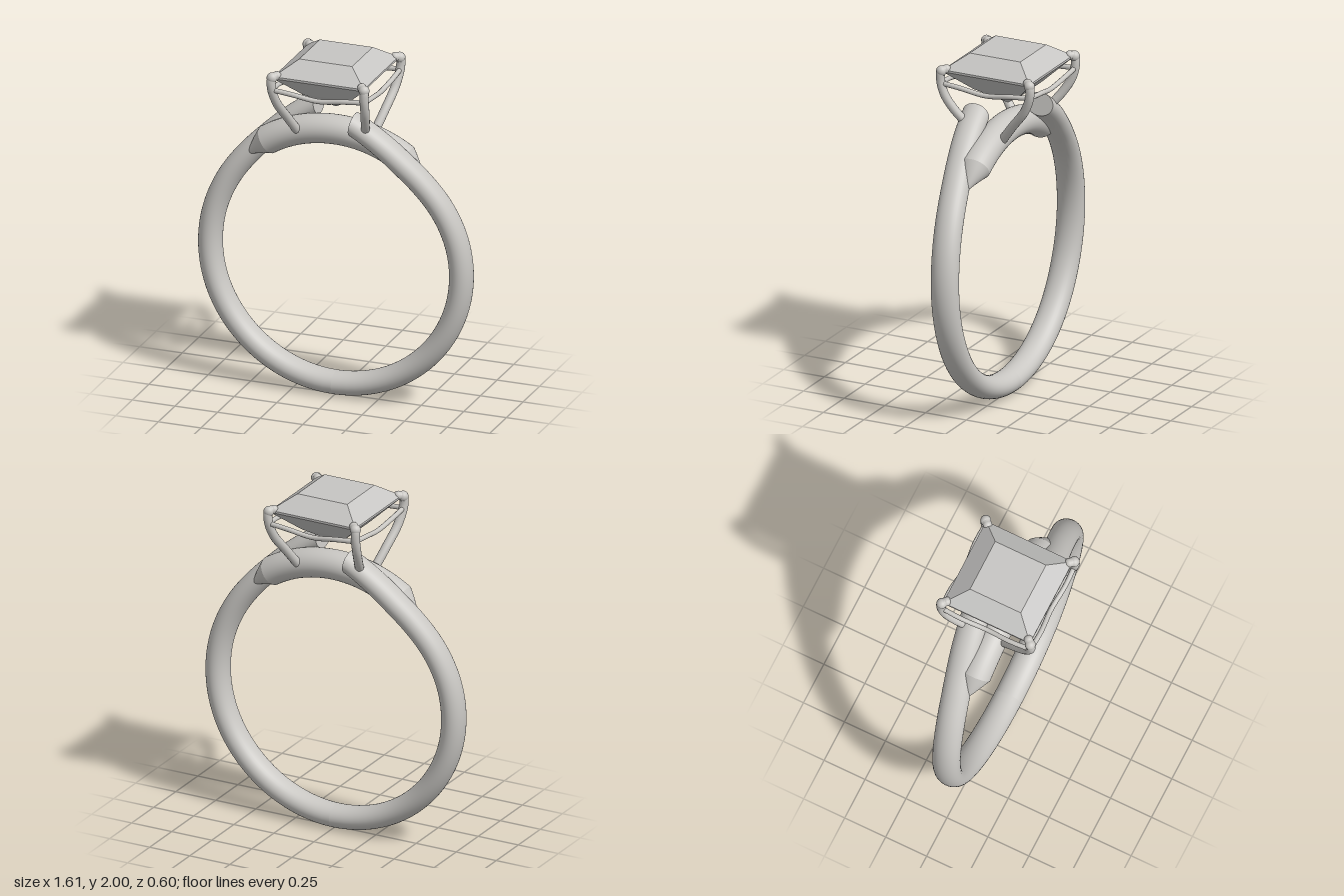
import * as THREE from 'three';

const CY = 0.805; // height of the ring centre
const V = (x, y, z) => new THREE.Vector3(x, y, z);

// Elliptical sweep around the ring axis. at(t) gives angle from the top (degrees),
// radius, z offset and section scale; h and w are the radial and z half sizes.
function sweep(steps, at, h, w, sides = 32) {
  const pos = [], idx = [], ring = [];
  for (let i = 0; i <= steps; i++) {
    const { deg, r, z, s = 1 } = at(i / steps);
    const f = THREE.MathUtils.degToRad(deg);
    for (let j = 0; j < sides; j++) {
      const a = (j / sides) * Math.PI * 2;
      const q = r + h * s * Math.cos(a);
      pos.push(q * Math.sin(f), CY + q * Math.cos(f), z + w * s * Math.sin(a));
    }
    ring.push([r * Math.sin(f), CY + r * Math.cos(f), z]);
  }
  for (let i = 0; i < steps; i++) for (let j = 0; j < sides; j++) {
    const a = i * sides + j, b = i * sides + (j + 1) % sides;
    idx.push(a, b, a + sides, b, b + sides, a + sides);
  }
  // Flat end caps with their own vertices
  for (const end of [0, steps]) {
    const c = pos.length / 3;
    pos.push(...ring[end]);
    for (let j = 0; j < sides; j++) {
      const k = (end * sides + j) * 3;
      pos.push(pos[k], pos[k + 1], pos[k + 2]);
    }
    for (let j = 0; j < sides; j++) {
      const a = c + 1 + j, b = c + 1 + (j + 1) % sides;
      if (end) idx.push(c, a, b); else idx.push(c, b, a);
    }
  }
  const g = new THREE.BufferGeometry();
  g.setAttribute('position', new THREE.Float32BufferAttribute(pos, 3));
  g.setIndex(idx);
  g.computeVertexNormals();
  return g;
}

// Square-cut stone: stacked square outlines [half width, height], flat facets
function stoneGeometry(levels) {
  const pos = [];
  const corner = ([s, y], k) => [[s, y, s], [s, y, -s], [-s, y, -s], [-s, y, s]][k % 4];
  for (let i = 0; i < levels.length - 1; i++) for (let k = 0; k < 4; k++) {
    const a = corner(levels[i], k), b = corner(levels[i], k + 1);
    const c = corner(levels[i + 1], k), d = corner(levels[i + 1], k + 1);
    pos.push(...a, ...b, ...c);
    if (levels[i + 1][0] > 0) pos.push(...b, ...d, ...c);
  }
  const top = levels[levels.length - 1];
  const t = [0, 1, 2, 3].map((k) => corner(top, k));
  pos.push(...t[0], ...t[1], ...t[2], ...t[0], ...t[2], ...t[3]);
  const g = new THREE.BufferGeometry();
  g.setAttribute('position', new THREE.Float32BufferAttribute(pos, 3));
  g.computeVertexNormals();
  return g;
}

export function createModel() {
  const model = new THREE.Group();
  model.name = 'ring';
  const metal = new THREE.MeshStandardMaterial({ color: 0xc9c7c3 });
  metal.name = 'silver metal';
  const gem = new THREE.MeshStandardMaterial({ color: 0xc6c5c3 });
  gem.name = 'pale stone';

  const add = (parent, name, geo, mat = metal) => {
    const m = new THREE.Mesh(geo, mat);
    m.name = name;
    parent.add(m);
    return m;
  };

  // Arm path as (angle, radius, z): splays forward and outward near its open end
  const armPath = new THREE.CatmullRomCurve3([
    V(10, 0.857, 0.12), V(17, 0.822, 0.11), V(25, 0.788, 0.097), V(34, 0.759, 0.08), V(45, 0.743, 0.058),
    V(60, 0.739, 0.034), V(75, 0.739, 0.017), V(90, 0.739, 0.007), V(110, 0.739, 0),
    V(145, 0.739, 0), V(180, 0.739, 0),
  ]);
  const armGeo = sweep(96, (t) => {
    const p = armPath.getPoint(t);
    return { deg: p.x, r: p.y, z: p.z };
  }, 0.066, 0.08);

  // Cone that closes each end of the bridge
  const coneGeo = sweep(6, (t) => ({ deg: 32.5 + 12 * t, r: 0.747 - 0.008 * t, z: 0, s: 1 - 0.97 * t }), 0.082, 0.09);

  // Prongs: the long one lands on the bridge, the short one on the arm
  const prongs = {
    armProng: [V(0.25, 1.922, 0.25), V(0.27, 1.915, 0.27), V(0.272, 1.86, 0.274), V(0.268, 1.78, 0.252),
      V(0.252, 1.7, 0.205), V(0.23, 1.63, 0.15)],
    bridgeProng: [V(-0.25, 1.922, 0.25), V(-0.27, 1.915, 0.27), V(-0.272, 1.86, 0.274), V(-0.258, 1.76, 0.235),
      V(-0.23, 1.645, 0.145), V(-0.2, 1.54, 0.065)],
  };
  // Rails sag and bow inward between the prongs
  const rail = (axis) => new THREE.TubeGeometry(new THREE.CatmullRomCurve3(
    [[-0.27, 1.845, 0.272], [-0.15, 1.835, 0.276], [0, 1.812, 0.264], [0.15, 1.835, 0.276], [0.27, 1.845, 0.272]]
      .map(([u, y, d]) => (axis === 'x' ? V(u, y, d) : V(d, y, -u)))), 40, 0.014, 10);

  // Everything in a half repeats after a half turn about the vertical
  for (let i = 0; i < 2; i++) {
    const half = new THREE.Group();
    half.name = i ? 'leftSweepHalf' : 'rightSweepHalf';
    half.rotation.y = i * Math.PI;
    add(half, 'bandArm', armGeo);
    add(half, 'bridgeEnd', coneGeo);
    for (const [name, pts] of Object.entries(prongs)) {
      add(half, name, new THREE.TubeGeometry(new THREE.CatmullRomCurve3(pts), 40, 0.025, 14));
      add(half, name + 'Tip', new THREE.SphereGeometry(0.026, 16, 12)).position.copy(pts[0]);
      add(half, name + 'Shoulder', new THREE.SphereGeometry(0.03, 16, 12)).position.copy(pts[1]);
    }
    add(half, 'frontRail', rail('x'));
    add(half, 'sideRail', rail('z'));
    model.add(half);
  }

  // Bridge under the stone
  add(model, 'bridge', sweep(40, (t) => ({ deg: -32.5 + 65 * t, r: 0.747, z: 0 }), 0.082, 0.09));

  // Stone: pavilion, girdle, crown and table
  add(model, 'stone', stoneGeometry(
    [[0, 1.687], [0.14, 1.788], [0.265, 1.908], [0.265, 1.92], [0.155, 2]]), gem);

  return model;
}
